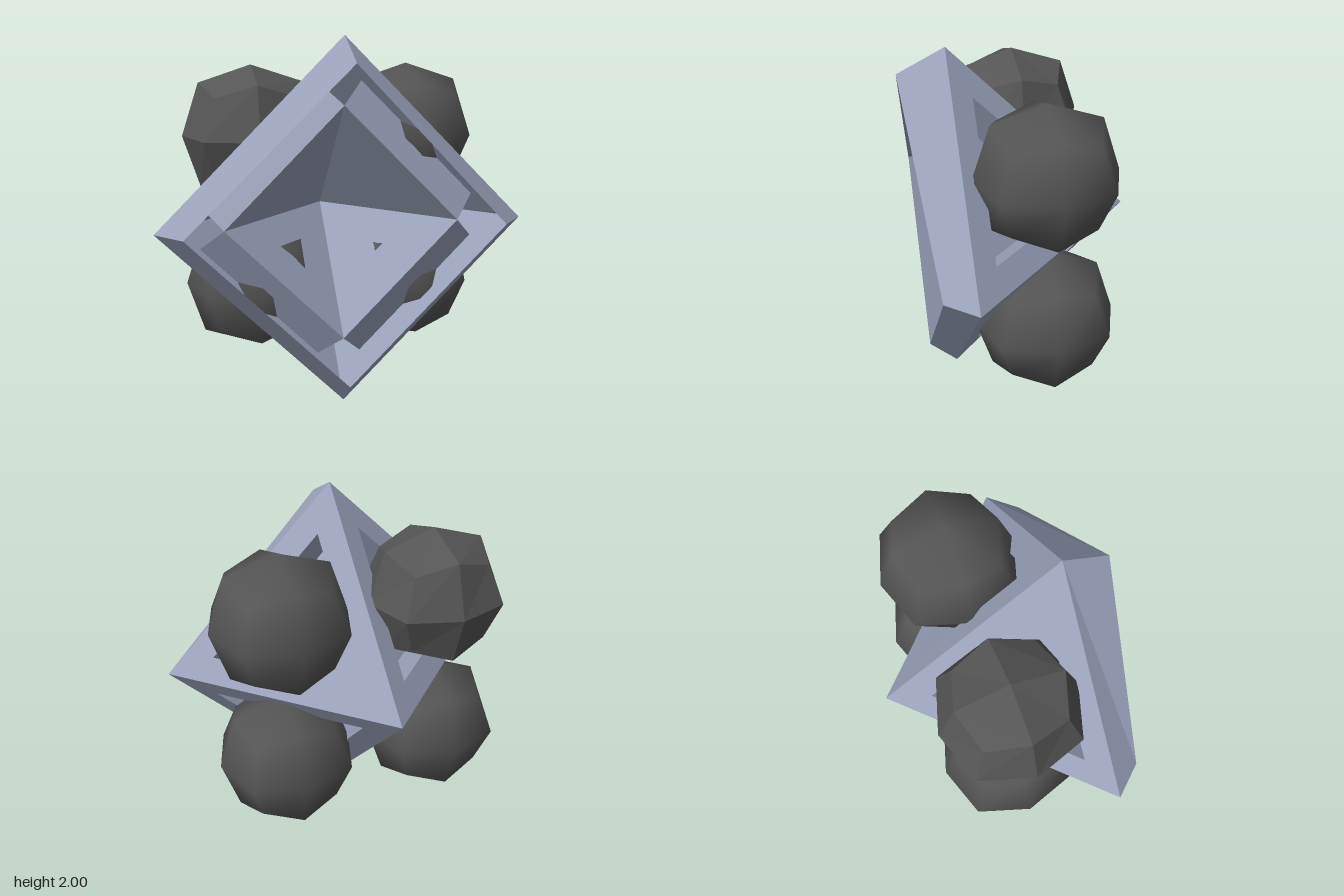
import * as THREE from 'three';
import { mergeVertices } from 'three/addons/utils/BufferGeometryUtils.js';

const frameMat = new THREE.MeshStandardMaterial({ color: 0x9aa2ba, flatShading: true, side: THREE.DoubleSide });
const ballMat = new THREE.MeshStandardMaterial({ color: 0x555555 });
const facetedBallMat = new THREE.MeshStandardMaterial({ color: 0x555555, flatShading: true });

// Non-indexed mesh from a list of triangles and quads (arrays of points)
function polygonMesh(name, polygons, flip) {
  const pos = [];
  for (const p of polygons) {
    const q = flip ? [...p].reverse() : p;
    for (let k = 1; k < q.length - 1; k++) pos.push(...q[0], ...q[k], ...q[k + 1]);
  }
  const geo = new THREE.BufferGeometry();
  geo.setAttribute('position', new THREE.Float32BufferAttribute(pos, 3));
  geo.computeVertexNormals();
  const mesh = new THREE.Mesh(geo, frameMat);
  mesh.name = name;
  return mesh;
}

// One triangular side of the pyramid: face with window, recess walls, recess floor, rim
function pyramidSide(sx, sy) {
  const P = (x, y, depth) => [sx * x, 1 + sy * y, 0.37 - depth];
  const outer = [P(1, 0, 0), P(0, 1, 0), P(0, 0, 1)];
  const win = [P(0.76, 0.12, 0.12), P(0.12, 0.76, 0.12), P(0.12, 0.12, 0.76)];
  const inner = [P(0.64, 0, 0), P(0, 0.64, 0), P(0, 0, 0.64)];
  const face = [], walls = [];
  for (let i = 0; i < 3; i++) {
    const j = (i + 1) % 3;
    face.push([outer[i], outer[j], win[j], win[i]]);
    walls.push([win[i], win[j], inner[j], inner[i]]);
  }
  // bevelled front rim, leaning forward towards the top
  const sideTip = P(0.86, 0, -0.16);
  const endTip = sy > 0 ? P(0, 0.87, -0.26) : P(0, 0.86, -0.16);
  const rim = [[outer[1], outer[0], sideTip, endTip]];

  const flip = sx * sy > 0;
  const side = new THREE.Group();
  side.name = 'pyramidSide';
  side.add(
    polygonMesh('windowFace', face, flip),
    polygonMesh('recessWalls', walls, flip),
    polygonMesh('recessFloor', [inner], flip),
    polygonMesh('frontRim', rim, flip)
  );
  return side;
}

// 24-sided ball: a cube split 2 x 2 per face and pushed outwards
function ballGeometry() {
  let geo = new THREE.BoxGeometry(2, 2, 2, 2, 2, 2);
  const pos = geo.attributes.position;
  const reach = [0, 0.385, 0.29, 0.222]; // face centre, edge middle, corner
  for (let i = 0; i < pos.count; i++) {
    const v = [pos.getX(i), pos.getY(i), pos.getZ(i)].map(Math.round);
    const r = reach[v.filter((c) => c !== 0).length];
    pos.setXYZ(i, v[0] * r, v[1] * r, v[2] * r);
  }
  geo.deleteAttribute('uv');
  geo.deleteAttribute('normal');
  geo = mergeVertices(geo);
  geo.computeVertexNormals();
  return geo;
}

export function createModel() {
  const model = new THREE.Group();
  model.name = 'windowedPyramidWithBalls';
  const ballGeo = ballGeometry();
  for (const sx of [-1, 1]) {
    for (const sy of [-1, 1]) {
      model.add(pyramidSide(sx, sy));
      // a ball sits in each window; one of them is faceted
      const ball = new THREE.Mesh(ballGeo, sx < 0 && sy > 0 ? facetedBallMat : ballMat);
      ball.name = 'ball';
      ball.position.set(sx < 0 ? -0.432 : 0.46, sy > 0 ? 1.447 : 0.602, -0.065);
      model.add(ball);
    }
  }
  return model;
}
